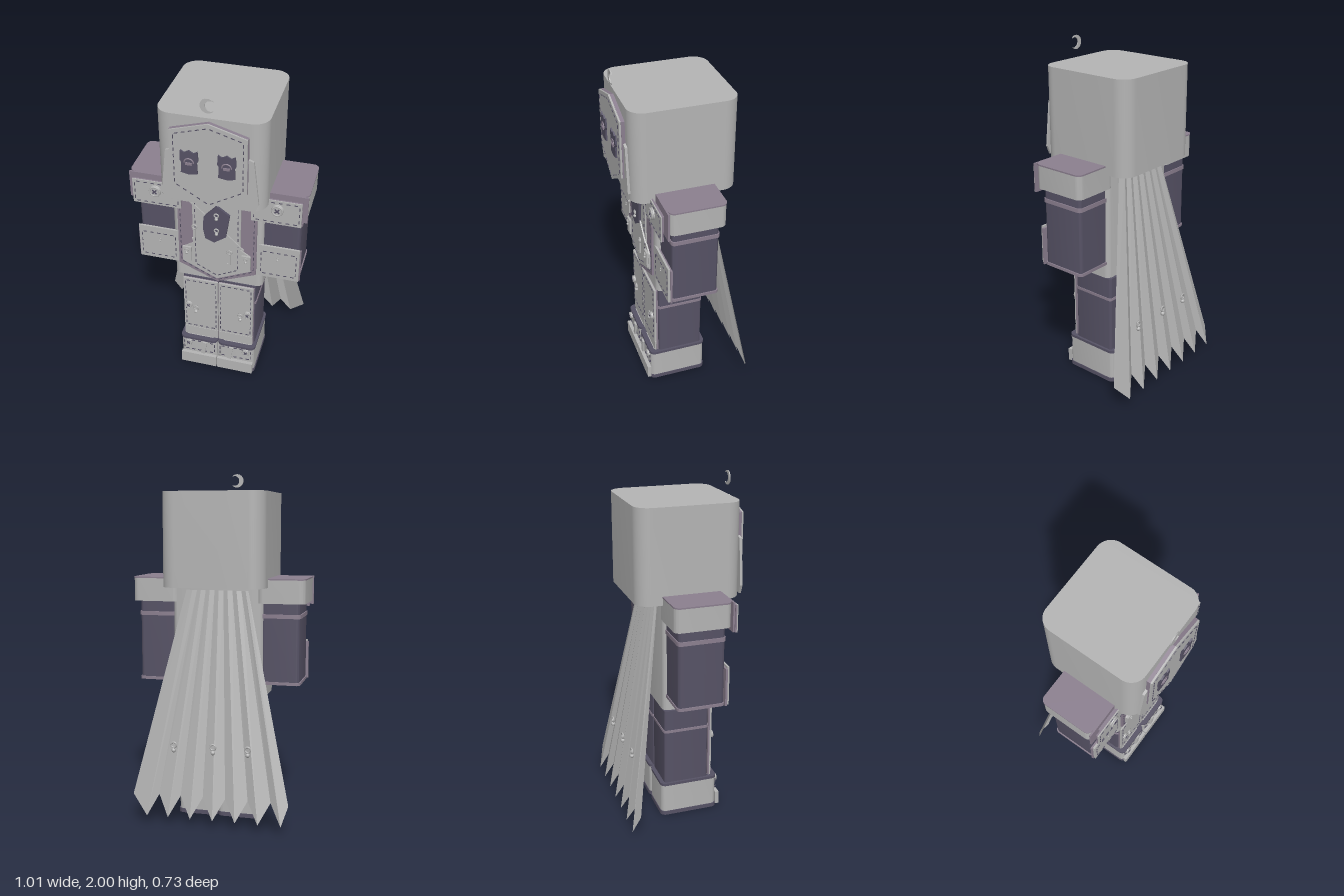
import * as THREE from 'three';
import { toCreasedNormals } from 'three/addons/utils/BufferGeometryUtils.js';

const mat = (name, color) => Object.assign(new THREE.MeshStandardMaterial({ color }), { name });

export function createModel() {
  const model = new THREE.Group();
  model.name = 'caped blocky figure';
  const grey = mat('light grey', 0xb4b4b4);
  const purple = mat('dusty purple', 0x8b7f8f);
  const dark = mat('dark violet', 0x565265);
  const cloth = mat('cape grey', 0xb2b2b2);
  cloth.side = THREE.DoubleSide;

  const add = (name, geometry, material) => {
    const mesh = new THREE.Mesh(geometry, material);
    mesh.name = name;
    model.add(mesh);
    return mesh;
  };
  const box = (name, x, y, z, w, h, d, material, turn = 0) => {
    const mesh = add(name, new THREE.BoxGeometry(w, h, d), material);
    mesh.position.set(x, y, z);
    mesh.rotation.z = turn;
    return mesh;
  };

  // Rounded rectangle on the ground plane
  const roundRect = (path, x0, x1, z0, z1, r) => {
    const a = -z1, b = -z0;
    path.moveTo(x0 + r, a).lineTo(x1 - r, a);
    path.absarc(x1 - r, a + r, r, -Math.PI / 2, 0);
    path.lineTo(x1, b - r).absarc(x1 - r, b - r, r, 0, Math.PI / 2);
    path.lineTo(x0 + r, b).absarc(x0 + r, b - r, r, Math.PI / 2, Math.PI);
    path.lineTo(x0, a + r).absarc(x0 + r, a + r, r, Math.PI, Math.PI * 1.5);
    return path;
  };
  // Upright block with rounded vertical edges; wall makes it a hollow ring
  const block = (name, [x0, x1], [y0, y1], [z0, z1], r, material, wall = 0) => {
    const shape = roundRect(new THREE.Shape(), x0, x1, z0, z1, r);
    if (wall) {
      shape.holes.push(roundRect(new THREE.Path(), x0 + wall, x1 - wall, z0 + wall, z1 - wall, Math.max(r - wall, 0.004)));
    }
    const g = new THREE.ExtrudeGeometry(shape, { depth: y1 - y0, bevelEnabled: false, curveSegments: 6 });
    g.rotateX(-Math.PI / 2).translate(0, y0, 0);
    return add(name, toCreasedNormals(g, 0.7), material);
  };
  // Flat outline facing forward
  const plate = (name, pts, z, depth, material) => {
    const shape = new THREE.Shape(pts.map(([x, y]) => new THREE.Vector2(x, y)));
    const g = new THREE.ExtrudeGeometry(shape, { depth, bevelEnabled: false });
    return add(name, g.translate(0, 0, z), material);
  };
  const rect = (x0, x1, y0, y1) => [[x0, y0], [x1, y0], [x1, y1], [x0, y1]];
  const flip = (pts, s) => pts.map(([x, y]) => [x * s, y]);
  const span = (s, a, b) => (s > 0 ? [a, b] : [-b, -a]);

  // Dashes along an outline
  const stitches = (pts, z) => pts.forEach(([x, y], i) => {
    const [u, v] = pts[(i + 1) % pts.length];
    const len = Math.hypot(u - x, v - y), n = Math.max(1, Math.round(len / 0.04));
    for (let k = 0; k < n; k++) {
      const t = (k + 0.5) / n;
      box('stitch', x + (u - x) * t, y + (v - y) * t, z, 0.02, 0.004, 0.005, dark, Math.atan2(v - y, u - x));
    }
  });
  // Domed button with a rim and crossed thread
  const button = (x, y, z, r) => {
    const disc = add('button', new THREE.CylinderGeometry(r * 0.85, r, 0.014, 16).rotateX(Math.PI / 2), grey);
    disc.position.set(x, y, z);
    add('buttonRim', new THREE.TorusGeometry(r * 0.85, r * 0.16, 6, 18), grey).position.set(x, y, z + 0.005);
    for (const t of [0.78, -0.78]) box('buttonThread', x, y, z + 0.008, r, r * 0.22, 0.006, dark, t);
  };
  // Small hanging charm: ring over a drop
  const charm = (x, y, z, s = 1) => {
    add('charmRing', new THREE.TorusGeometry(0.012 * s, 0.004 * s, 6, 14), grey).position.set(x, y, z);
    add('charmDrop', new THREE.SphereGeometry(0.01 * s, 10, 8), grey).position.set(x, y - 0.024 * s, z);
  };
  const key = (x, y, len, z) => {
    add('keyRing', new THREE.TorusGeometry(0.013, 0.005, 6, 14), grey).position.set(x, y, z);
    box('keyShaft', x, y - 0.012 - len / 2, z, 0.009, len, 0.008, grey);
    box('keyBit', x - 0.009, y - 0.01 - len, z, 0.012, 0.012, 0.008, grey);
  };

  // Head and mask
  block('head', [-0.295, 0.295], [1.35, 1.88], [-0.28, 0.315], 0.085, grey);
  const mask = [[0, 1.865], [-0.207, 1.805], [-0.207, 1.475], [0, 1.355], [0.207, 1.475], [0.207, 1.805]];
  plate('maskBacking', mask, 0.32, 0.02, purple);
  plate('mask', mask.map(([x, y]) => [x * 0.99, y]), 0.34, 0.01, grey);
  stitches(mask.map(([x, y]) => [x * 0.89, 1.61 + (y - 1.61) * 0.91]), 0.351);
  for (const s of [1, -1]) {
    const flap = [[0.15, 1.7], [0.235, 1.67], [0.265, 1.41], [0.245, 1.36], [0.1, 1.39]];
    plate('maskFlap', flip(flap, s), 0.318, 0.014, grey);
    // Eyes with torn edges and stitched pupils
    const eye = [[0.055, 1.565], [0.1, 1.558], [0.145, 1.567], [0.142, 1.63], [0.15, 1.645], [0.146, 1.7],
      [0.125, 1.688], [0.1, 1.702], [0.075, 1.688], [0.054, 1.7], [0.05, 1.645], [0.058, 1.63]];
    plate('eye', flip(eye, s), 0.35, 0.009, dark);
    const lid = add('eyeLid', new THREE.TorusGeometry(0.025, 0.004, 6, 12, Math.PI), purple);
    lid.position.set(s * 0.1, 1.63, 0.36);
    box('pupil', s * 0.1, 1.625, 0.361, 0.035, 0.014, 0.008, purple);
  }

  // Floating crescent
  const moon = new THREE.Shape();
  moon.absarc(-0.003, 1.96, 0.04, 0.8, Math.PI * 2 - 0.8, false);
  moon.absarc(0.012, 1.96, 0.029, Math.PI * 2 - 1.05, 1.05, true);
  const moonMesh = add('crescent', new THREE.ExtrudeGeometry(moon, { depth: 0.006, bevelEnabled: false }), grey);
  moonMesh.position.z = 0.33;

  // Torso and layered chest panel
  block('torso', [-0.265, 0.265], [0.71, 1.36], [-0.13, 0.18], 0.035, grey);
  const tabard = [[-0.23, 1.35], [-0.23, 0.81], [0, 0.71], [0.23, 0.81], [0.23, 1.35]];
  plate('tabard', tabard, 0.185, 0.012, purple);
  const panel = [[-0.14, 1.33], [-0.14, 0.98], [-0.2, 0.94], [-0.2, 0.835], [0, 0.74], [0.2, 0.835], [0.2, 0.94], [0.14, 0.98], [0.14, 1.33]];
  plate('chestPanel', panel, 0.197, 0.009, grey);
  stitches([[-0.125, 1.315], [-0.125, 0.83], [0, 0.765], [0.125, 0.83], [0.125, 1.315]], 0.207);
  stitches([[-0.215, 1.335], [-0.215, 0.83], [0, 0.725], [0.215, 0.83], [0.215, 1.335]], 0.198);
  box('cord', -0.01, 1.145, 0.211, 0.46, 0.008, 0.008, grey, -0.75);
  const patch = [[-0.07, 1.19], [0.005, 1.275], [0.08, 1.22], [0.058, 1.07], [-0.01, 1.02], [-0.062, 1.04], [-0.075, 1.11]];
  plate('chestPatch', patch, 0.207, 0.015, dark);
  for (const y of [1.215, 1.11]) charm(0.005, y, 0.226);
  key(-0.125, 1.11, 0.075, 0.222);
  key(0.08, 0.965, 0.08, 0.222);
  for (const s of [1, -1]) {
    plate('chestTab', rect(s * 0.175 - 0.026, s * 0.175 + 0.026, 0.85, 0.95), 0.207, 0.012, grey);
    charm(s * 0.175, 0.93, 0.222, 0.8);
  }

  // Arms, shoulder pads and legs, both sides
  for (const s of [1, -1]) {
    const sx = (a, b) => span(s, a, b);
    block('sleeve', sx(0.25, 0.47), [0.805, 1.27], [-0.11, 0.155], 0.02, dark);
    block('sleeveBand', sx(0.245, 0.476), [1.175, 1.198], [-0.115, 0.16], 0.022, purple);
    block('sleeveCuff', sx(0.245, 0.476), [0.795, 0.812], [-0.115, 0.16], 0.022, purple);
    block('shoulderPad', sx(0.23, 0.503), [1.26, 1.392], [-0.14, 0.178], 0.035, grey);
    block('shoulderTop', sx(0.23, 0.505), [1.392, 1.4], [-0.142, 0.18], 0.035, purple);
    plate('shoulderTrim', rect(...sx(0.2, 0.505), 1.235, 1.4), 0.18, 0.01, purple);
    plate('shoulderBadge', rect(...sx(0.2, 0.478), 1.22, 1.375), 0.205, 0.009, purple);
    plate('shoulderFace', rect(...sx(0.2, 0.478), 1.22, 1.375), 0.214, 0.006, grey);
    box('shoulderSpacer', s * 0.34, 1.3, 0.197, 0.2, 0.1, 0.018, purple);
    stitches(rect(...sx(0.215, 0.465), 1.235, 1.362), 0.221);
    button(s * 0.345, 1.318, 0.228, 0.034);
    plate('forearmBacking', rect(...sx(0.23, 0.482), 0.795, 1.015), 0.157, 0.012, purple);
    plate('forearmGuard', rect(...sx(0.235, 0.475), 0.8, 1.025), 0.169, 0.012, grey);
    stitches(rect(...sx(0.255, 0.458), 0.825, 0.985), 0.182);
    charm(s * 0.35, 0.945, 0.183, 0.5);

    // Hollow leg with a closed top, front panel and bands
    block('leg', sx(0.004, 0.225), [0.015, 0.67], [-0.11, 0.158], 0.015, dark, 0.012);
    block('legTop', sx(0.004, 0.225), [0.67, 0.682], [-0.11, 0.158], 0.015, dark);
    block('legBand', sx(0.002, 0.229), [0.542, 0.558], [-0.114, 0.162], 0.018, purple, 0.012);
    plate('legPanelBacking', rect(...sx(0.003, 0.22), 0.22, 0.675), 0.162, 0.01, purple);
    plate('legPanel', rect(...sx(0.003, 0.216), 0.285, 0.68), 0.172, 0.012, grey);
    plate('legLowerPanel', rect(...sx(0.003, 0.216), 0.215, 0.28), 0.172, 0.01, grey);
    stitches(rect(...sx(0.014, 0.203), 0.3, 0.665), 0.185);
    button(s * 0.185, 0.473, 0.193, 0.023);
    charm(s * 0.14, 0.452, 0.19, 1.2);

    // Boot
    block('boot', sx(0.002, 0.235), [0.022, 0.2], [-0.13, 0.212], 0.03, grey, 0.014);
    block('bootRim', sx(0.001, 0.239), [0.198, 0.214], [-0.134, 0.216], 0.032, dark, 0.03);
    block('sole', sx(0.001, 0.239), [0, 0.024], [-0.134, 0.216], 0.032, dark, 0.02);
    plate('bootInstep', rect(...sx(0.004, 0.225), 0.1, 0.2), 0.16, 0.045, grey);
    plate('toeCap', rect(...sx(0.003, 0.23), 0.012, 0.092), 0.212, 0.022, grey);
    stitches(rect(...sx(0.018, 0.215), 0.112, 0.188), 0.214);
    button(s * 0.185, 0.175, 0.22, 0.023);
    box('bootTab', s * 0.085, 0.15, 0.222, 0.026, 0.095, 0.012, grey, -0.15);
  }

  // Pleated cape: folds alternate between outer ridges (long tips) and inner valleys
  const tips = [-0.42, -0.29, -0.16, -0.03, 0.1, 0.23, 0.355];
  const folds = [[-0.455, 0.16]];
  tips.forEach((x, i) => {
    folds.push([x, 0.05]);
    folds.push(i < 6 ? [(x + tips[i + 1]) / 2, 0.17] : [0.45, 0.16]);
  });
  const pos = [];
  for (let i = 0; i + 1 < folds.length; i++) {
    const corner = ([x, y], k) => {
      const ridge = k % 2;
      return { top: [x * 0.4, 1.33, ridge ? -0.148 : -0.138], low: [x, y, ridge ? -0.367 : -0.325] };
    };
    const a = corner(folds[i], i), b = corner(folds[i + 1], i + 1);
    pos.push(...a.top, ...b.top, ...b.low, ...a.top, ...b.low, ...a.low);
  }
  const cape = new THREE.BufferGeometry();
  cape.setAttribute('position', new THREE.Float32BufferAttribute(pos, 3));
  cape.computeVertexNormals();
  add('cape', cape, cloth);
  for (const x of [-0.22, -0.02, 0.21]) charm(x, 0.46, -0.308, 1.3);

  return model;
}
